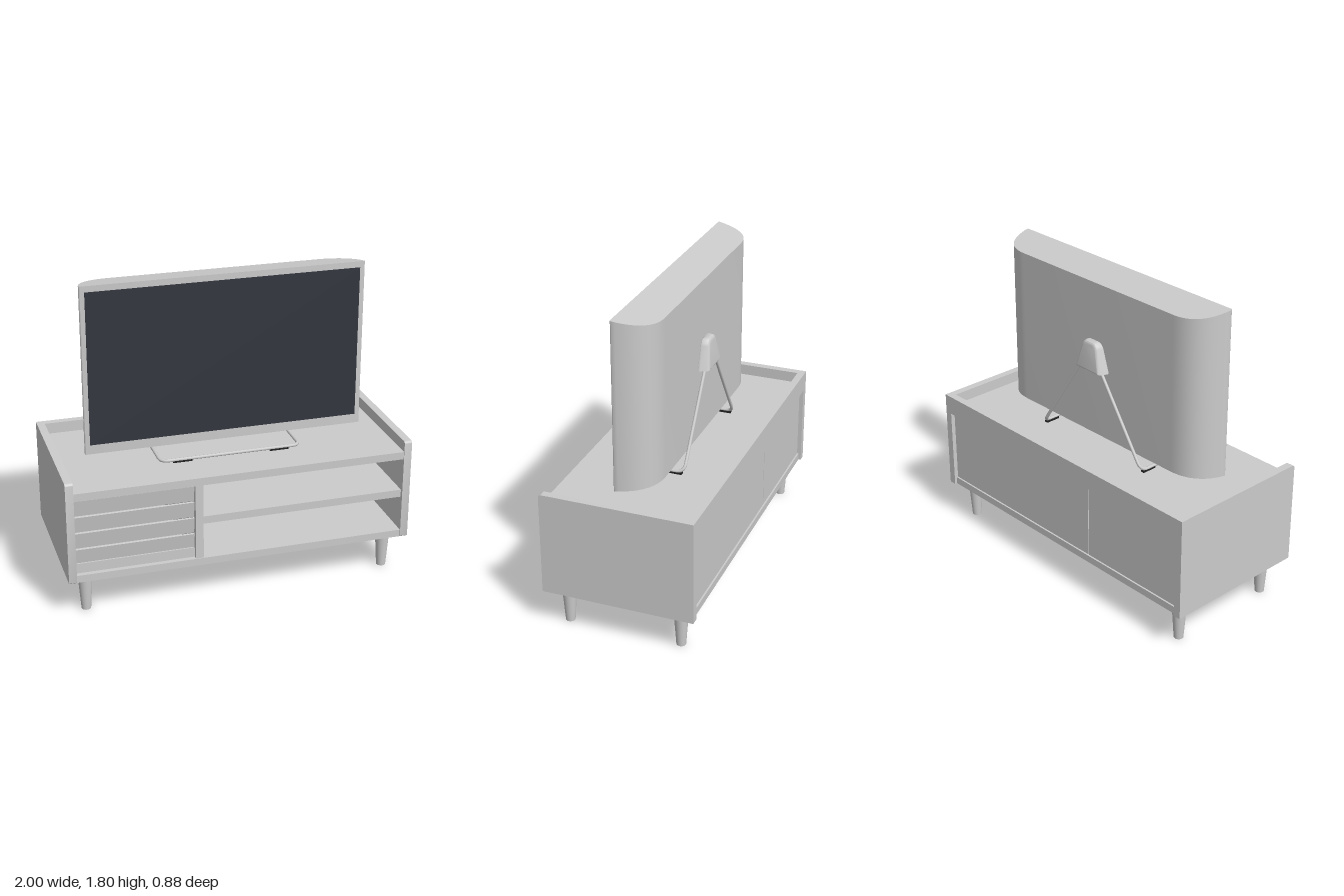
import * as THREE from 'three';
import { toCreasedNormals } from 'three/addons/utils/BufferGeometryUtils.js';

const grey = new THREE.MeshStandardMaterial({ color: 0xcccccc });
const screenMat = new THREE.MeshStandardMaterial({ color: 0x33363f });
const footMat = new THREE.MeshStandardMaterial({ color: 0x222222 });

function add(parent, name, geometry, material = grey) {
  const mesh = new THREE.Mesh(geometry, material);
  mesh.name = name;
  parent.add(mesh);
  return mesh;
}

// Box given by its limits on each axis
function box(parent, name, [x0, x1], [y0, y1], [z0, z1], material) {
  const mesh = add(parent, name, new THREE.BoxGeometry(x1 - x0, y1 - y0, z1 - z0), material);
  mesh.position.set((x0 + x1) / 2, (y0 + y1) / 2, (z0 + z1) / 2);
  return mesh;
}

// Polyline with rounded corners
function roundedPath(points, radius) {
  const path = new THREE.CurvePath();
  let last = points[0];
  for (let i = 1; i < points.length - 1; i++) {
    const p = points[i];
    const towards = (q) => p.clone().add(q.clone().sub(p).setLength(radius));
    const a = towards(points[i - 1]), b = towards(points[i + 1]);
    path.add(new THREE.LineCurve3(last, a));
    path.add(new THREE.QuadraticBezierCurve3(a, p, b));
    last = b;
  }
  path.add(new THREE.LineCurve3(last, points[points.length - 1]));
  return path;
}

function moveVertices(geometry, rule) {
  const pos = geometry.attributes.position;
  const v = new THREE.Vector3();
  for (let i = 0; i < pos.count; i++) {
    rule(v.fromBufferAttribute(pos, i));
    pos.setXYZ(i, v.x, v.y, v.z);
  }
  return geometry;
}

function buildCabinet() {
  const cabinet = new THREE.Group();
  cabinet.name = 'cabinet';

  // Side panels with rounded front corners
  const profile = new THREE.Shape();
  profile.moveTo(-0.44, 0.225);
  profile.lineTo(0.432, 0.225);
  profile.quadraticCurveTo(0.44, 0.225, 0.44, 0.233);
  profile.lineTo(0.44, 0.81);
  profile.quadraticCurveTo(0.44, 0.83, 0.42, 0.83);
  profile.lineTo(-0.44, 0.83);
  const sideGeo = new THREE.ExtrudeGeometry(profile, { depth: 0.045, bevelEnabled: false, curveSegments: 6 });
  sideGeo.rotateY(-Math.PI / 2);
  const creasedSide = toCreasedNormals(sideGeo, 0.6);
  for (const x of [-0.955, 1]) add(cabinet, 'sidePanel', creasedSide).position.x = x;

  // Boards
  const inner = [-0.955, 0.955];
  box(cabinet, 'topBoard', inner, [0.72, 0.765], [-0.41, 0.435]);
  box(cabinet, 'bottomBoard', inner, [0.225, 0.268], [-0.425, 0.435]);
  box(cabinet, 'backRail', inner, [0.715, 0.83], [-0.44, -0.397]);
  box(cabinet, 'divider', [-0.275, -0.23], [0.268, 0.72], [-0.41, 0.43]);
  box(cabinet, 'shelf', [-0.23, 0.955], [0.475, 0.52], [-0.4, 0.42]);
  box(cabinet, 'backPanel', [-0.25, 0.955], [0.268, 0.72], [-0.415, -0.4]);
  box(cabinet, 'backPanel', [-0.955, -0.256], [0.268, 0.72], [-0.415, -0.4]);

  // Louvred door: leaning slats above a plain rail
  for (let i = 0; i < 4; i++) {
    const slat = box(cabinet, 'doorSlat', [-0.953, -0.277], [0.614 - i * 0.098, 0.711 - i * 0.098], [0.395, 0.407]);
    slat.rotation.x = 0.16;
  }
  box(cabinet, 'doorRail', [-0.953, -0.277], [0.27, 0.328], [0.385, 0.41]);

  // Tapered legs
  const legGeo = new THREE.CylinderGeometry(0.043, 0.027, 0.228, 32);
  for (const x of [-0.89, 0.89]) {
    for (const z of [-0.33, 0.33]) add(cabinet, 'leg', legGeo).position.set(x, 0.114, z);
  }
  return cabinet;
}

function buildTelevision() {
  const tv = new THREE.Group();
  tv.name = 'television';

  // Housing: plan outline with curved back, top and bottom sloping rearwards
  const plan = new THREE.Shape();
  plan.moveTo(-0.805, -0.085);
  plan.lineTo(0.805, -0.085);
  plan.quadraticCurveTo(0.815, -0.085, 0.815, -0.075);
  plan.bezierCurveTo(0.80, 0.04, 0.74, 0.13, 0.6, 0.13);
  plan.lineTo(-0.6, 0.13);
  plan.bezierCurveTo(-0.74, 0.13, -0.80, 0.04, -0.815, -0.075);
  plan.quadraticCurveTo(-0.815, -0.085, -0.805, -0.085);
  const housing = new THREE.ExtrudeGeometry(plan, { depth: 0.98, bevelEnabled: false, curveSegments: 20 });
  housing.rotateX(-Math.PI / 2);
  moveVertices(housing, (v) => {
    const back = (0.085 - v.z) / 0.215;
    v.y = v.y > 0.5 ? 1.805 - 0.036 * back : 0.825 + 0.02 * back;
  });
  add(tv, 'housing', toCreasedNormals(housing, 0.6));
  box(tv, 'screen', [-0.785, 0.785], [0.88, 1.77], [0.07, 0.087], screenMat);

  // Rear bracket: rounded trapezoid, flaring and deepening downwards
  const face = new THREE.Shape();
  face.moveTo(-0.12, 1.26);
  face.lineTo(0.12, 1.26);
  face.lineTo(0.075, 1.395);
  face.quadraticCurveTo(0.062, 1.43, 0.03, 1.43);
  face.lineTo(-0.03, 1.43);
  face.quadraticCurveTo(-0.062, 1.43, -0.075, 1.395);
  face.closePath();
  const bracket = new THREE.ExtrudeGeometry(face, {
    depth: 0.045, bevelThickness: 0.018, bevelSize: 0.018, bevelOffset: -0.018, bevelSegments: 5, curveSegments: 8,
  });
  moveVertices(bracket, (v) => {
    const t = (v.z + 0.018) / 0.081;
    v.x *= 1 - 0.22 * (1 - t);
    v.z = -0.125 - (1 - t) * (0.07 - 0.12 * (v.y - 1.26));
  });
  add(tv, 'rearBracket', toCreasedNormals(bracket, 0.7));

  // Bent wire stand
  const y = 0.779;
  const points = [
    [-0.05, 1.32, -0.162], [-0.41, y, -0.162], [-0.41, y, 0.195],
    [0.41, y, 0.195], [0.41, y, -0.162], [0.05, 1.32, -0.162],
  ].map((p) => new THREE.Vector3(...p));
  add(tv, 'wireStand', new THREE.TubeGeometry(roundedPath(points, 0.05), 260, 0.0095, 10));

  // Dark pads under the wire
  for (const s of [-1, 1]) {
    const cx = s * 0.285, rx = s * 0.408;
    box(tv, 'frontPad', [cx - 0.055, cx + 0.055], [0.765, 0.775], [0.185, 0.205], footMat);
    box(tv, 'rearPad', [rx - 0.011, rx + 0.011], [0.765, 0.776], [-0.15, -0.06], footMat);
  }
  return tv;
}

export function createModel() {
  const model = new THREE.Group();
  model.name = 'televisionOnCabinet';
  model.add(buildCabinet(), buildTelevision());
  return model;
}
